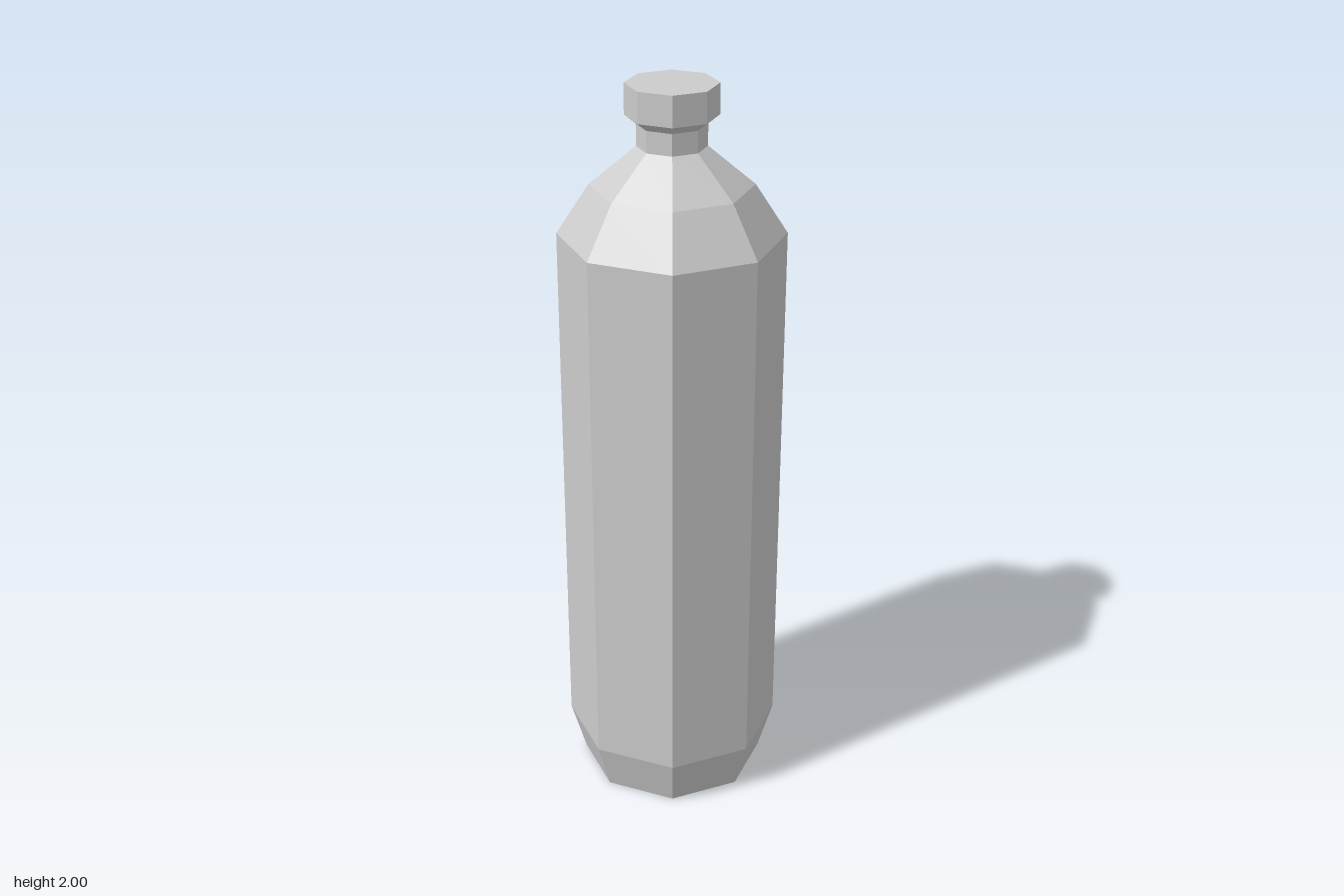
import * as THREE from 'three';

const SIDES = 8;
const material = new THREE.MeshStandardMaterial({ color: 0xcccccc, flatShading: true });

// Eight-sided turned part; profile is [half width across flats, height], bottom to top
function turned(name, profile) {
  const toCorner = 1 / Math.cos(Math.PI / SIDES);
  const points = profile.map(([r, y]) => new THREE.Vector2(r * toCorner, y));
  const geometry = new THREE.LatheGeometry(points, SIDES, Math.PI / SIDES);
  const mesh = new THREE.Mesh(geometry, material);
  mesh.name = name;
  return mesh;
}

export function createModel() {
  const bottle = new THREE.Group();
  bottle.name = 'bottle';

  // Closed base, tapered foot, straight wall, two-step shoulder and neck
  bottle.add(turned('body', [
    [0, 0], [0.235, 0], [0.273, 0.14], [0.273, 1.61],
    [0.195, 1.74], [0.083, 1.84], [0.083, 1.897],
  ]));

  // Cap with a flared underside and flat top
  bottle.add(turned('cap', [
    [0.083, 1.897], [0.11, 1.92], [0.11, 2], [0, 2],
  ]));

  return bottle;
}
